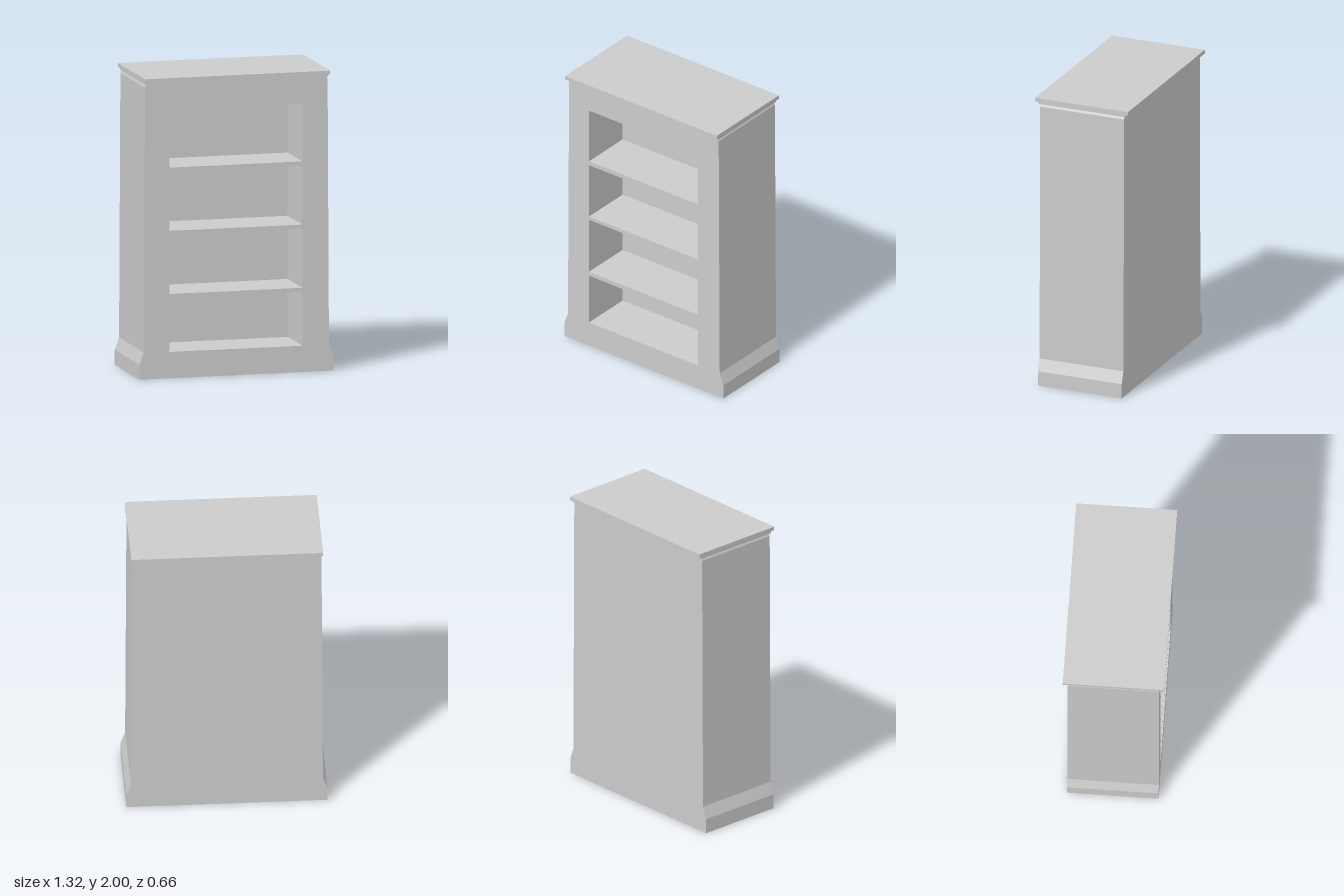
import * as THREE from 'three';

const material = new THREE.MeshStandardMaterial({ color: 0xcccccc });

function addMesh(group, name, geometry, x, y, z) {
  const mesh = new THREE.Mesh(geometry, material);
  mesh.name = name;
  mesh.position.set(x, y, z);
  group.add(mesh);
}

// Half of the cabinet outline: flared plinth, slightly tapering side, chamfered top
const profile = [[0.66, 0], [0.66, 0.1], [0.63, 0.18], [0.621, 1.94], [0.612, 1.96]];

function cabinetOutline() {
  const right = profile.map(([x, y]) => new THREE.Vector2(x, y));
  const left = profile.map(([x, y]) => new THREE.Vector2(-x, y)).reverse();
  return new THREE.Shape([...right, ...left]);
}

export function createModel() {
  const group = new THREE.Group();
  group.name = 'bookcase';

  const halfDepth = 0.3;
  const shelfDepth = 0.36;
  const backDepth = 2 * halfDepth - shelfDepth;

  // Solid rear part that closes the compartments
  addMesh(group, 'cabinetBack',
    new THREE.ExtrudeGeometry(cabinetOutline(), { depth: backDepth, bevelEnabled: false }),
    0, 0, -halfDepth);

  // Front part with four open compartments, leaving thin shelves between them
  const front = cabinetOutline();
  const openings = [[0.175, 0.53], [0.56, 0.955], [0.98, 1.37], [1.4, 1.785]];
  for (const [low, high] of openings) {
    front.holes.push(new THREE.Path([
      new THREE.Vector2(-0.456, low), new THREE.Vector2(-0.456, high),
      new THREE.Vector2(0.45, high), new THREE.Vector2(0.45, low),
    ]));
  }
  addMesh(group, 'shelfFrame',
    new THREE.ExtrudeGeometry(front, { depth: shelfDepth, bevelEnabled: false }),
    0, 0, -halfDepth + backDepth);

  // Stepped cornice
  addMesh(group, 'corniceMoulding', new THREE.BoxGeometry(1.244, 0.017, 0.624), 0, 1.9665, 0);
  addMesh(group, 'topBoard', new THREE.BoxGeometry(1.26, 0.025, 0.664), 0, 1.9875, 0);

  return group;
}
